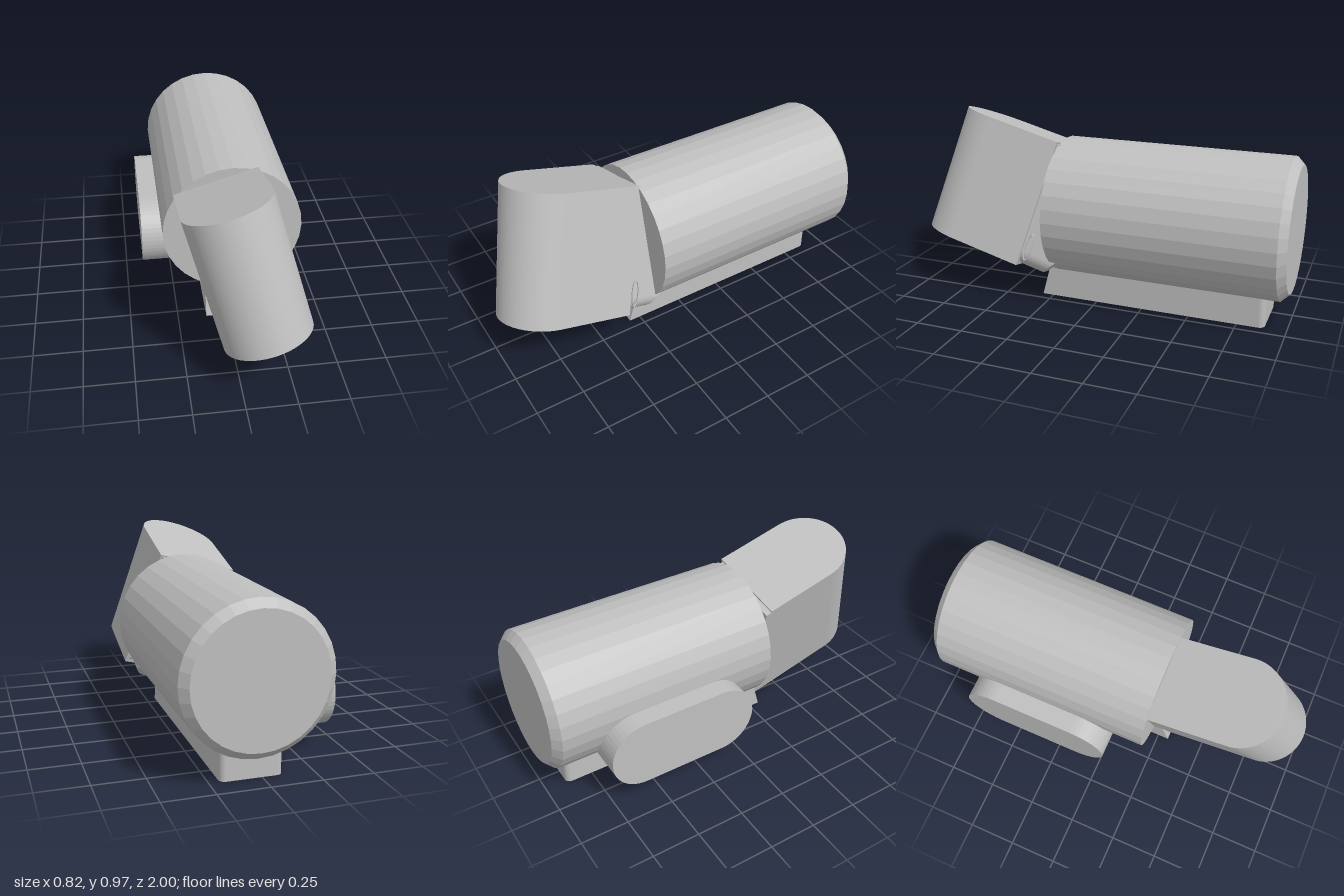
import * as THREE from 'three';

const grey = new THREE.MeshStandardMaterial({ color: 0xbfbfbf, flatShading: true });
grey.name = 'grey';

function part(name, geometry, parent) {
  const mesh = new THREE.Mesh(geometry, grey);
  mesh.name = name;
  parent.add(mesh);
  return mesh;
}

const extrude = (shape, depth, curveSegments = 16) =>
  new THREE.ExtrudeGeometry(shape, { depth, bevelEnabled: false, curveSegments });

// Move every vertex by a rule, then refresh the normals.
function reshape(geometry, rule) {
  const p = geometry.attributes.position;
  const v = new THREE.Vector3();
  for (let i = 0; i < p.count; i++) {
    v.fromBufferAttribute(p, i);
    rule(v);
    p.setXYZ(i, v.x, v.y, v.z);
  }
  geometry.computeVertexNormals();
  return geometry;
}

export function createModel() {
  const model = new THREE.Group();
  model.name = 'model';

  // Barrel lying along z, with a chamfered rear rim
  const profile = [[0, -1], [0.32, -1], [0.36, -0.96], [0.36, 0.22], [0, 0.22]];
  const barrel = new THREE.LatheGeometry(profile.map(([r, y]) => new THREE.Vector2(r, y)), 32);
  barrel.rotateX(Math.PI / 2);
  part('barrel', barrel, model).position.set(0.05, 0.483, 0);

  // Mounting rail: rounded rear corners and a front that leans back
  const plan = new THREE.Shape();
  plan.moveTo(-0.1, -0.31);
  plan.lineTo(0.2, -0.31);
  plan.lineTo(0.2, 0.86);
  plan.absarc(0.17, 0.86, 0.03, 0, Math.PI / 2);
  plan.lineTo(-0.07, 0.89);
  plan.absarc(-0.07, 0.86, 0.03, Math.PI / 2, Math.PI);
  plan.closePath();
  const rail = extrude(plan, 0.18, 6).rotateX(-Math.PI / 2);
  part('mountingRail', reshape(rail, (v) => { if (v.z > 0) v.z -= v.y * 0.27; }), model);

  // Side pod: a stadium pushed out of the barrel's right side
  const stadium = new THREE.Shape();
  const r = 0.1825;
  stadium.absarc(0.765 - r, 0.298, r, -Math.PI / 2, Math.PI / 2);
  stadium.absarc(-0.04 + r, 0.298, r, Math.PI / 2, Math.PI * 1.5);
  stadium.closePath();
  const pod = extrude(stadium, 0.39, 12).rotateY(Math.PI / 2);
  part('sidePod', pod, model).position.x = -0.41;

  // Tilted head, with its origin at the top of the rounded front
  const head = new THREE.Group();
  head.name = 'head';
  head.position.set(-0.04, 0.89, 0.615);
  head.rotation.set(-Math.PI / 12, 0, Math.PI / 12);
  model.add(head);

  const dShape = new THREE.Shape();
  dShape.moveTo(-0.22, 0.39);
  dShape.lineTo(-0.22, 0);
  dShape.absarc(0, 0, 0.22, Math.PI, Math.PI * 2);
  dShape.lineTo(0.22, 0.39);
  dShape.closePath();
  const shell = extrude(dShape, 0.68, 24).rotateX(-Math.PI / 2);
  part('headShell', shell, head).position.y = -0.68;

  // Neck filling the wedge between head and barrel
  const section = new THREE.Shape();
  section.moveTo(-0.22, -0.01);
  section.lineTo(-0.22, -0.6);
  section.lineTo(-0.22, -0.68);
  section.lineTo(0.125, -0.68);
  section.absarc(0.125, -0.6, 0.08, -Math.PI / 2, 0);
  section.lineTo(0.205, -0.01);
  section.closePath();
  const neck = reshape(extrude(section, 1, 8), (v) => {
    const back = v.y > -0.6 ? -0.42 + v.y * 0.267 : -0.58 - (v.y + 0.6) * 0.75;
    v.z = v.z > 0.5 ? -0.38 : back;
  });
  part('neck', neck, head);

  // Small wire loop on the neck's left side
  const loop = part('wireLoop', new THREE.TorusGeometry(0.07, 0.006, 6, 24), head);
  loop.rotation.y = Math.PI / 2;
  loop.scale.set(0.25, 1, 1);
  loop.position.set(0.208, -0.57, -0.42);

  return model;
}
